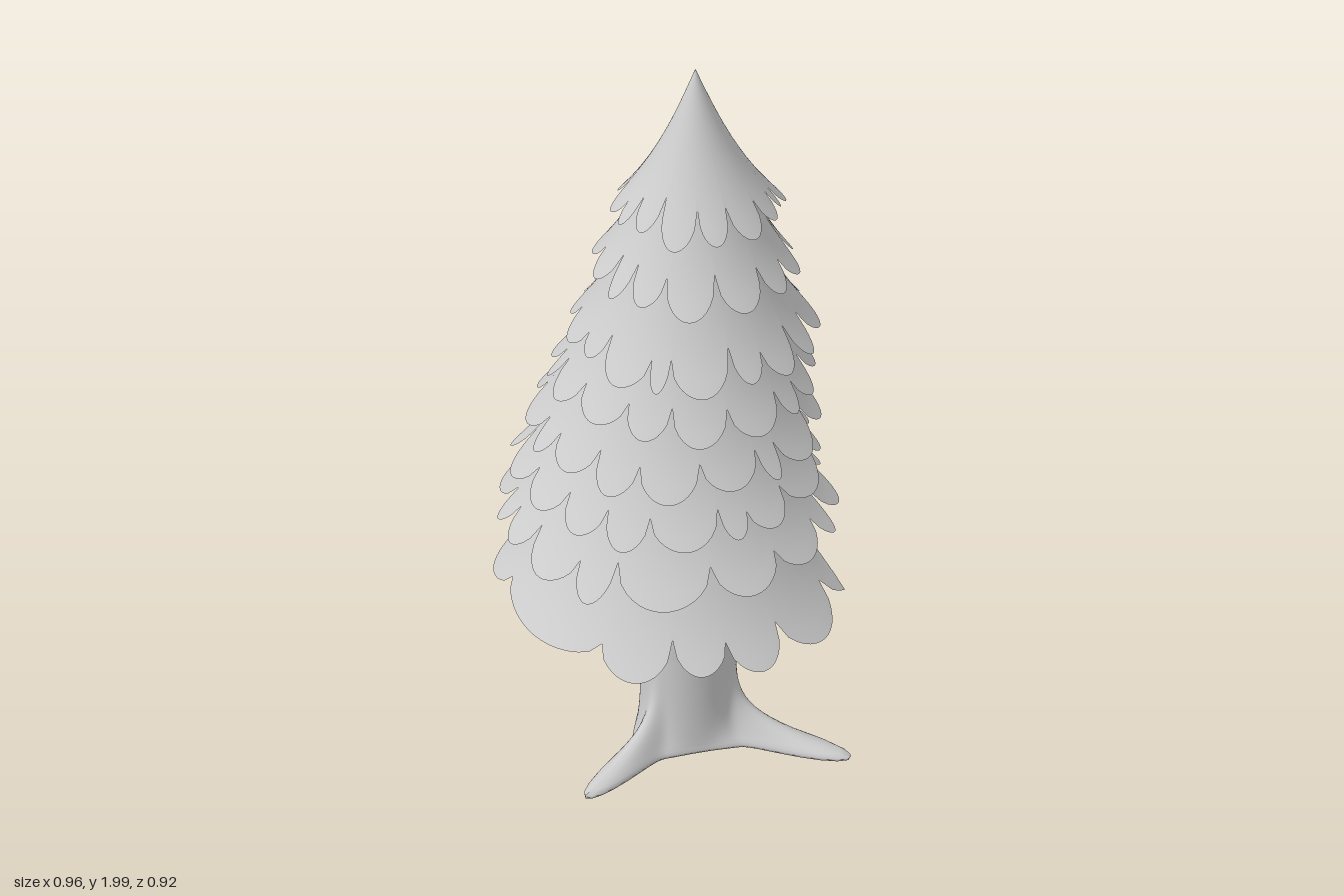
import * as THREE from 'three';

const material = new THREE.MeshStandardMaterial({ color: 0xcccccc, side: THREE.DoubleSide });
const V = (x, y, z) => new THREE.Vector3(x, y, z);
const angleBetween = (a, b) => Math.abs(Math.atan2(Math.sin(a - b), Math.cos(a - b)));

function seeded(seed) {
  let s = seed;
  return () => (s = (s * 16807) % 2147483647) / 2147483647;
}

// Turned trunk whose foot is pulled outwards into three tapering roots
function trunkGeometry(roots) {
  const foot = [[0, 0.02], [0.07, 0.014], [0.13, 0.006], [0.131, 0.014]];
  for (let y = 0.022; y < 0.3; y += 0.008 + y * 0.08) foot.push([0.13, y]);
  const upper = new THREE.SplineCurve([
    [0.13, 0.32], [0.13, 0.4], [0.112, 0.5], [0.095, 0.6], [0.085, 0.78], [0.06, 0.95], [0.001, 1.0],
  ].map(([r, y]) => new THREE.Vector2(r, y))).getPoints(30);
  const geo = new THREE.LatheGeometry([...foot.map(([r, y]) => new THREE.Vector2(r, y)), ...upper], 180);
  const pos = geo.attributes.position;
  for (let i = 0; i < pos.count; i++) {
    const x = pos.getX(i), y = pos.getY(i), z = pos.getZ(i);
    const r = Math.hypot(x, z), a = Math.atan2(x, z);
    if (r < 0.01) continue;
    const fade = Math.exp(-Math.max(0, y - 0.018) / 0.05) * Math.min(1, r / 0.13);
    let push = 0.01 * Math.exp(-y / 0.08);
    for (const [rx, rz] of roots) {
      const d = angleBetween(a, Math.atan2(rx, rz));
      const length = Math.hypot(rx, rz) - 0.14;
      push += fade * length * (0.8 * Math.exp(-((d / 0.16) ** 2)) + 0.2 * Math.exp(-((d / 0.5) ** 2)));
    }
    const k = (r + push) / r;
    pos.setXYZ(i, x * k, y, z * k);
  }
  geo.computeVertexNormals();
  return geo;
}

// Tube along a smooth path whose radius follows a list of values
function taperedTube(points, radii) {
  const curve = new THREE.CatmullRomCurve3(points);
  const segs = 24, sides = 14;
  const geo = new THREE.TubeGeometry(curve, segs, 1, sides);
  const pos = geo.attributes.position, p = V(0, 0, 0);
  for (let i = 0; i < pos.count; i++) {
    const t = Math.floor(i / (sides + 1)) / segs;
    const k = Math.min(Math.floor(t * (radii.length - 1)), radii.length - 2);
    const r = THREE.MathUtils.lerp(radii[k], radii[k + 1], t * (radii.length - 1) - k);
    const c = curve.getPointAt(t);
    p.fromBufferAttribute(pos, i).sub(c).multiplyScalar(r).add(c);
    pos.setXYZ(i, p.x, p.y, p.z);
  }
  geo.computeVertexNormals();
  return geo;
}

// Flared skirt whose lower edge is cut into irregular rounded lobes
function skirtGeometry({ top, bottom, lobes, notch, gap }, seed) {
  const rand = seeded(seed * 7919 + 13);
  for (let i = 0; i < 5; i++) rand();
  const rows = 10, cols = 14;
  const widths = Array.from({ length: lobes }, () => 0.4 + 1.1 * rand());
  const total = widths.reduce((a, b) => a + b, 0);
  const positions = [], index = [];
  let angle = rand() * 6.28;
  let cut = notch + (rand() - 0.5) * 0.14;
  const firstCut = cut;
  for (let l = 0; l < lobes; l++) {
    const span = (widths[l] / total) * Math.PI * 2;
    const reach = 0.96 + 0.08 * rand();
    const nextCut = l === lobes - 1 ? firstCut : notch + (rand() - 0.5) * 0.14;
    for (let c = 0; c < cols; c++) {
      const u = c / cols, a = angle + span * u;
      const base = THREE.MathUtils.lerp(cut, nextCut, u);
      let end = base + (reach - base) * Math.pow(Math.sin(Math.PI * u), 0.5);
      if (gap !== undefined) {
        end *= THREE.MathUtils.lerp(0.32, 1, THREE.MathUtils.smoothstep(angleBetween(a, gap), 0.18, 0.32));
      }
      for (let r = 0; r <= rows; r++) {
        const t = (r / rows) * end;
        const flare = 0.72 * t + 0.28 * t * t * t;
        const radius = top.r + (bottom.r - top.r) * flare;
        positions.push(
          THREE.MathUtils.lerp(top.x, bottom.x, t) + radius * Math.sin(a),
          THREE.MathUtils.lerp(top.y, bottom.y, t),
          THREE.MathUtils.lerp(top.z, bottom.z, t) + radius * Math.cos(a));
      }
    }
    angle += span;
    cut = nextCut;
  }
  const n = lobes * cols, w = rows + 1;
  for (let i = 0; i < n; i++) {
    for (let r = 0; r < rows; r++) {
      const a = i * w + r, b = ((i + 1) % n) * w + r;
      index.push(a, a + 1, b, b, a + 1, b + 1);
    }
  }
  const geo = new THREE.BufferGeometry();
  geo.setAttribute('position', new THREE.Float32BufferAttribute(positions, 3));
  geo.setIndex(index);
  geo.computeVertexNormals();
  return geo;
}

export function createModel() {
  const model = new THREE.Group();
  const add = (name, geo, parent = model) => {
    const mesh = new THREE.Mesh(geo, material);
    mesh.name = name;
    parent.add(mesh);
    return mesh;
  };

  // Trunk and roots, hidden inside the foliage at the top
  add('trunkAndRoots', trunkGeometry([[0, 0.42], [-0.3, -0.36], [0.44, -0.17]])).position.set(0.04, 0, 0);

  // Bare branches reaching up under the foliage
  const branches = new THREE.Group();
  branches.name = 'branches';
  model.add(branches);
  const branchPaths = [
    [V(0.04, 0.38, -0.02), V(-0.11, 0.455, -0.08), V(-0.23, 0.465, -0.12), V(-0.33, 0.58, -0.14)],
    [V(0.04, 0.39, 0.03), V(-0.02, 0.48, 0.13), V(-0.09, 0.525, 0.21), V(-0.19, 0.6, 0.31)],
    [V(0.07, 0.26, -0.01), V(0.125, 0.39, -0.03), V(0.17, 0.49, -0.04), V(0.23, 0.64, -0.03)],
  ];
  for (const path of branchPaths) {
    add('branch', taperedTube(path, [0.095, 0.06, 0.036, 0.027, 0.014]), branches);
  }

  // Foliage tiers, top to bottom: edge height, edge radius, centre x and z, lobes, upper radius
  const foliage = new THREE.Group();
  foliage.name = 'foliage';
  model.add(foliage);
  const tiers = [
    [1.64, 0.21, 0.035, -0.035, 14, 0.001],
    [1.495, 0.255, 0.04, -0.01, 15, 0.115],
    [1.315, 0.31, 0.04, -0.01, 16, 0.155],
    [1.17, 0.335, 0.015, 0, 17, 0.195],
    [1.02, 0.38, -0.015, 0, 17, 0.225],
    [0.885, 0.405, -0.025, 0.01, 16, 0.25],
    [0.735, 0.445, -0.03, 0.01, 16, 0.27],
    [0.525, 0.472, -0.01, 0.005, 11, 0.275],
  ];
  tiers.forEach(([y, r, x, z, lobes, topR], i) => {
    const prev = tiers[i - 1];
    const top = prev
      ? { r: topR, y: prev[0] + 0.1, x: (prev[2] + x) / 2, z: (prev[3] + z) / 2 }
      : { r: topR, y: 2, x: 0.02, z: -0.04 };
    const last = i === tiers.length - 1;
    add(`foliageTier${i + 1}`, skirtGeometry({
      top, bottom: { r, y, x, z }, lobes,
      notch: 1 - 0.065 / (top.y - y),
      gap: last ? Math.atan2(0.69, -0.72) : undefined,
    }, i + 3), foliage);
  });
  return model;
}
